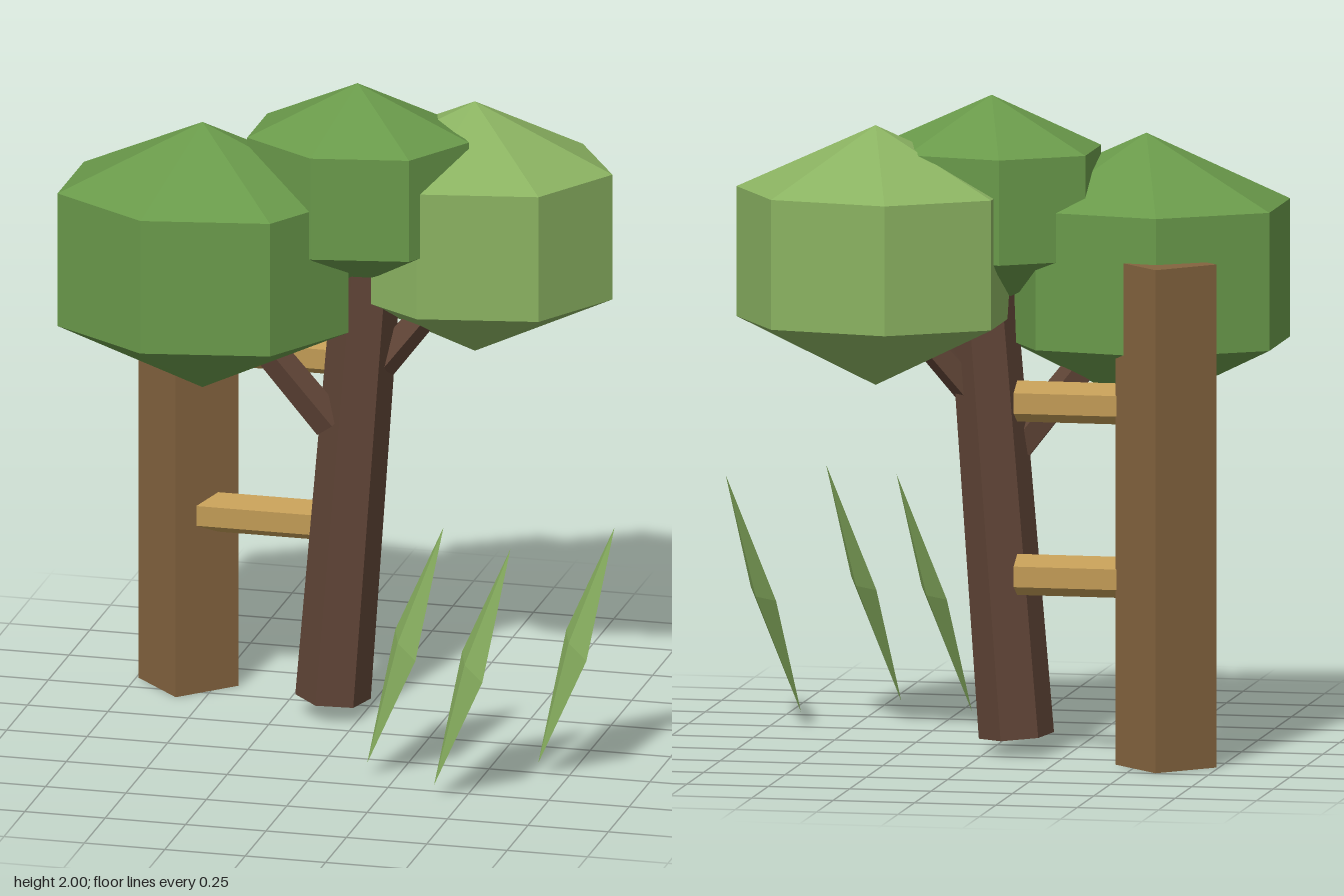
import * as THREE from 'three';

const flat = (color) => new THREE.MeshStandardMaterial({ color, flatShading: true });
const bark = flat(0x5f4436);
const timber = flat(0x84643f);
const rungWood = flat(0xc09a55);
const darkGreen = flat(0x69994a);
const lightGreen = flat(0x8ab261);

export function createModel() {
  const model = new THREE.Group();
  model.name = 'tree';

  const add = (name, geometry, material) => {
    const mesh = new THREE.Mesh(geometry, material);
    mesh.name = name;
    model.add(mesh);
    return mesh;
  };

  // Prism running between two points, twisted about its own axis
  const beam = (name, from, to, rFrom, rTo, sides, twist, material) => {
    const a = new THREE.Vector3(...from);
    const b = new THREE.Vector3(...to);
    const dir = b.clone().sub(a);
    const geometry = new THREE.CylinderGeometry(rTo, rFrom, dir.length(), sides).rotateY(twist);
    const mesh = add(name, geometry, material);
    mesh.quaternion.setFromUnitVectors(new THREE.Vector3(0, 1, 0), dir.normalize());
    mesh.position.copy(a).add(b).multiplyScalar(0.5);
  };

  // Leaning trunk and its two branches
  beam('trunk', [-0.09, 0.053, -0.155], [0.015, 1.45, -0.173], 0.114, 0.102, 6, -0.23, bark);
  beam('leftBranch', [-0.09, 0.93, -0.12], [-0.38, 1.3, -0.06], 0.055, 0.05, 5, 0.4, bark);
  beam('rightBranch', [0.05, 1.11, -0.18], [0.25, 1.36, -0.26], 0.052, 0.045, 5, 0.4, bark);

  // Faceted crowns, wider along x than tall or deep
  const crown = (name, x, y, z, r, material) => {
    const geometry = new THREE.SphereGeometry(r, 7, 3).rotateY(Math.PI).scale(1.25, 1, 1);
    add(name, geometry, material).position.set(x, y, z);
  };
  crown('leftCrown', -0.465, 1.46, -0.035, 0.42, darkGreen);
  crown('middleCrown', -0.015, 1.68, -0.16, 0.32, darkGreen);
  crown('rightCrown', 0.31, 1.525, -0.315, 0.395, lightGreen);

  // Square post set cornerwise, joined to the trunk by two rungs
  beam('post', [-0.587, 0, -0.34], [-0.587, 1.53, -0.34], 0.155, 0.155, 4, 0, timber);
  for (const y of [0.5625, 1.09]) {
    beam('rung', [-0.587, y, -0.29], [-0.12, y, -0.29], 0.0625, 0.0625, 6, Math.PI / 2, rungWood);
  }

  // Thin slanting leaf blades: octahedra stretched along three axes
  const across = new THREE.Vector3(0.0675, 0, 0.14);
  const along = new THREE.Vector3(0.105, 0.365, -0.0525);
  const thick = across.clone().cross(along).setLength(0.025);
  const basis = new THREE.Matrix4().makeBasis(across, along, thick);
  for (const [x, z] of [[0.266, 0.352], [0.514, 0.507], [0.765, 0.226]]) {
    const blade = new THREE.OctahedronGeometry(1).applyMatrix4(basis);
    add('leafBlade', blade, lightGreen).position.set(x, 0.405, z);
  }

  return model;
}
